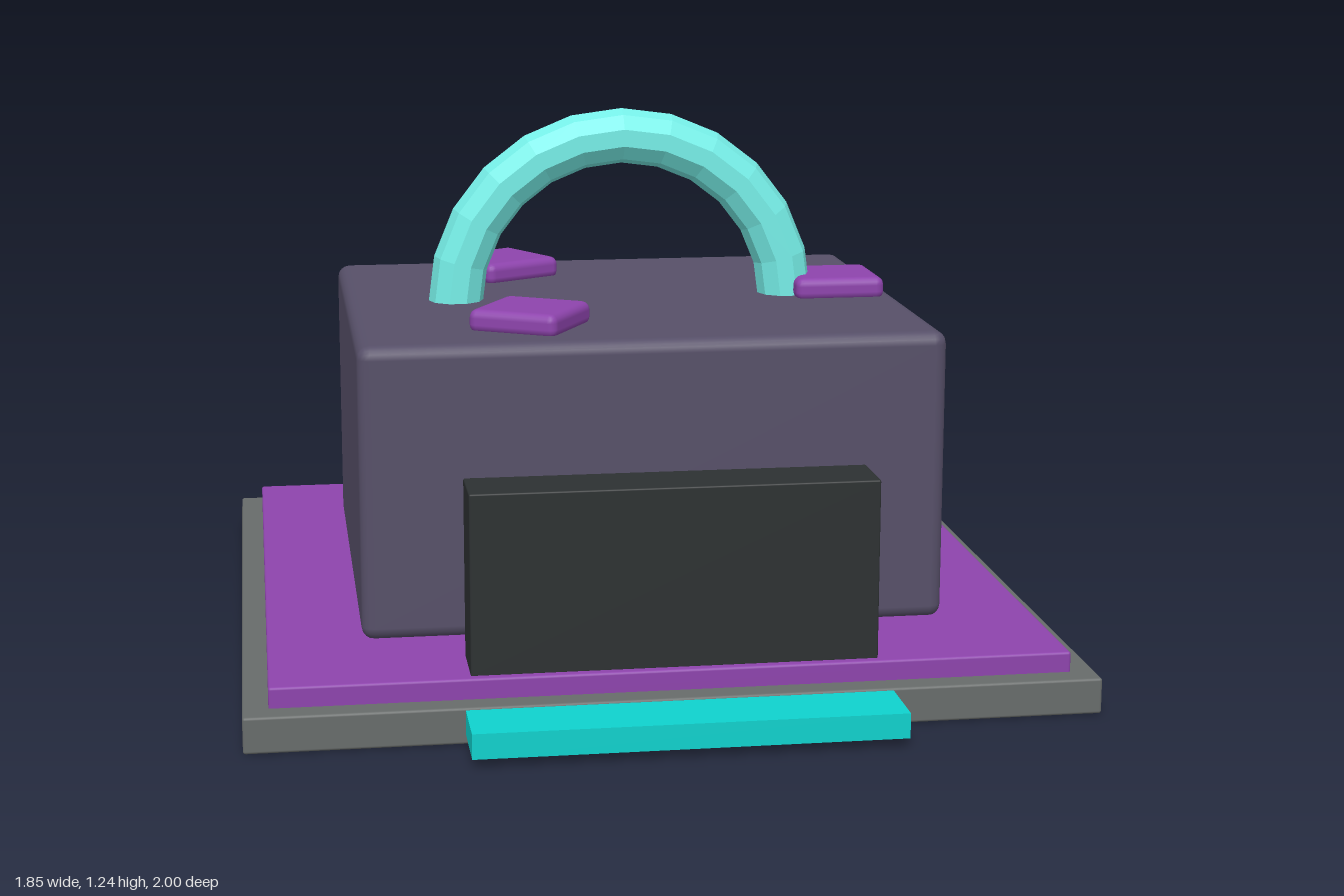
import * as THREE from 'three';
import { RoundedBoxGeometry } from 'three/addons/geometries/RoundedBoxGeometry.js';

const CENTER_Z = -0.075;

export function createModel() {
  const group = new THREE.Group();
  const mat = (color, flatShading = false) => new THREE.MeshStandardMaterial({ color, flatShading });
  const grey = mat(0x686c6b);
  const purple = mat(0x8e44ad);
  const slate = mat(0x575069);
  const charcoal = mat(0x2d3132);
  const teal = mat(0x0fd2ce);
  const aqua = mat(0x76efe8, true);

  const add = (name, geometry, material, x, y, z) => {
    const mesh = new THREE.Mesh(geometry, material);
    mesh.name = name;
    mesh.position.set(x, y, z);
    group.add(mesh);
    return mesh;
  };
  // Box with slightly softened edges
  const soft = (w, h, d, r, segments = 2) => new RoundedBoxGeometry(w, h, d, segments, r);

  // Stacked square plinth
  add('base', soft(1.85, 0.08, 1.85, 0.006), grey, 0, 0.04, CENTER_Z);
  add('floorPlate', soft(1.74, 0.06, 1.74, 0.006), purple, 0, 0.095, CENTER_Z);

  // Main block
  add('body', soft(1.32, 0.665, 1.14, 0.03), slate, 0, 0.4525, CENTER_Z);

  // Upright panel and step at the front
  add('frontPanel', soft(0.885, 0.4, 0.145, 0.004), charcoal, 0, 0.322, 0.7025);
  add('frontStep', new THREE.BoxGeometry(0.92, 0.055, 0.16), teal, 0, 0.0475, 0.92);

  // Faceted half-ring handle
  add('handle', new THREE.TorusGeometry(0.4, 0.065, 10, 12, Math.PI), aqua, 0, 0.772, CENTER_Z);

  // Three tiles set around the handle
  for (let i = 0; i < 3; i++) {
    const a = (i * Math.PI * 2) / 3;
    const tile = add('topTile', soft(0.215, 0.055, 0.215, 0.02), purple,
      0.517 * Math.cos(a), 0.805, CENTER_Z - 0.41 * Math.sin(a));
    tile.rotation.y = a;
  }
  return group;
}
